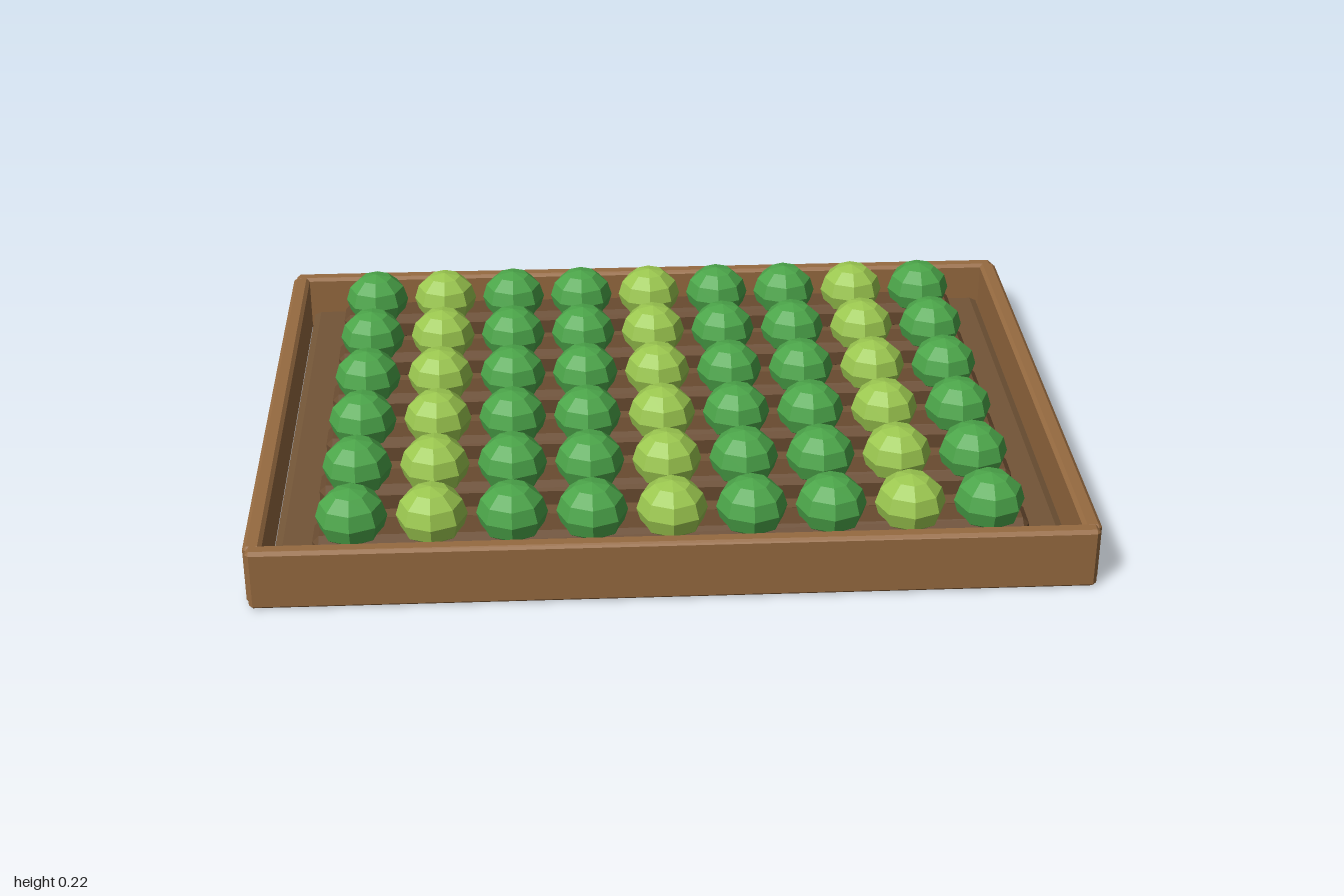
import * as THREE from 'three';
import { ConvexGeometry } from 'three/addons/geometries/ConvexGeometry.js';

const mat = (color) => new THREE.MeshStandardMaterial({ color, flatShading: true });
const wood = mat(0x966a40);
const soil = mat(0x735537);
const mound = mat(0x694b30);
const green = mat(0x4ca64a);
const lime = mat(0x9cc850);

// Box with chamfered edges; size and chamfer are given per axis
function chamferBox(size, bevel) {
  const points = [];
  for (const sx of [-1, 1]) for (const sy of [-1, 1]) for (const sz of [-1, 1]) {
    const s = [sx, sy, sz];
    for (let full = 0; full < 3; full++) {
      const p = s.map((sign, i) => sign * (size[i] / 2 - (i === full ? 0 : bevel[i])));
      points.push(new THREE.Vector3(...p));
    }
  }
  return new ConvexGeometry(points);
}

function add(parent, name, geometry, material, x, y, z) {
  const mesh = new THREE.Mesh(geometry, material);
  mesh.name = name;
  mesh.position.set(x, y, z);
  parent.add(mesh);
  return mesh;
}

export function createModel() {
  const model = new THREE.Group();
  model.name = 'plantingBed';

  // Wooden frame
  const longBoard = chamferBox([1.985, 0.153, 0.042], [0.009, 0.008, 0.009]);
  const shortBoard = chamferBox([0.044, 0.153, 1.47], [0.009, 0.008, 0.009]);
  add(model, 'frontBoard', longBoard, wood, 0, 0.0765, 0.739);
  add(model, 'backBoard', longBoard, wood, 0, 0.0765, -0.739);
  add(model, 'leftBoard', shortBoard, wood, 0.978, 0.0765, 0);
  add(model, 'rightBoard', shortBoard, wood, -0.978, 0.0765, 0);

  // Soil slab, slightly smaller than the frame opening
  add(model, 'soil', chamferBox([1.89, 0.05, 1.42], [0.018, 0.008, 0.014]), soil, 0, 0.035, 0);

  // Six planted rows of nine squat domes, every third one lighter
  const rowShape = chamferBox([1.7, 0.07, 0.13], [0.016, 0.016, 0.028]);
  const plantShape = new THREE.SphereGeometry(0.085, 8, 6);
  plantShape.scale(1, 0.88, 1);
  for (let r = 0; r < 6; r++) {
    const row = new THREE.Group();
    row.name = 'plantRow';
    row.position.z = (r - 2.5) * 0.2365 - 0.004;
    add(row, 'soilRidge', rowShape, mound, 0, 0.08, 0);
    for (let c = 0; c < 9; c++) {
      add(row, 'plant', plantShape, c % 3 === 1 ? lime : green, (c - 4) * 0.1895, 0.146, 0);
    }
    model.add(row);
  }
  return model;
}
